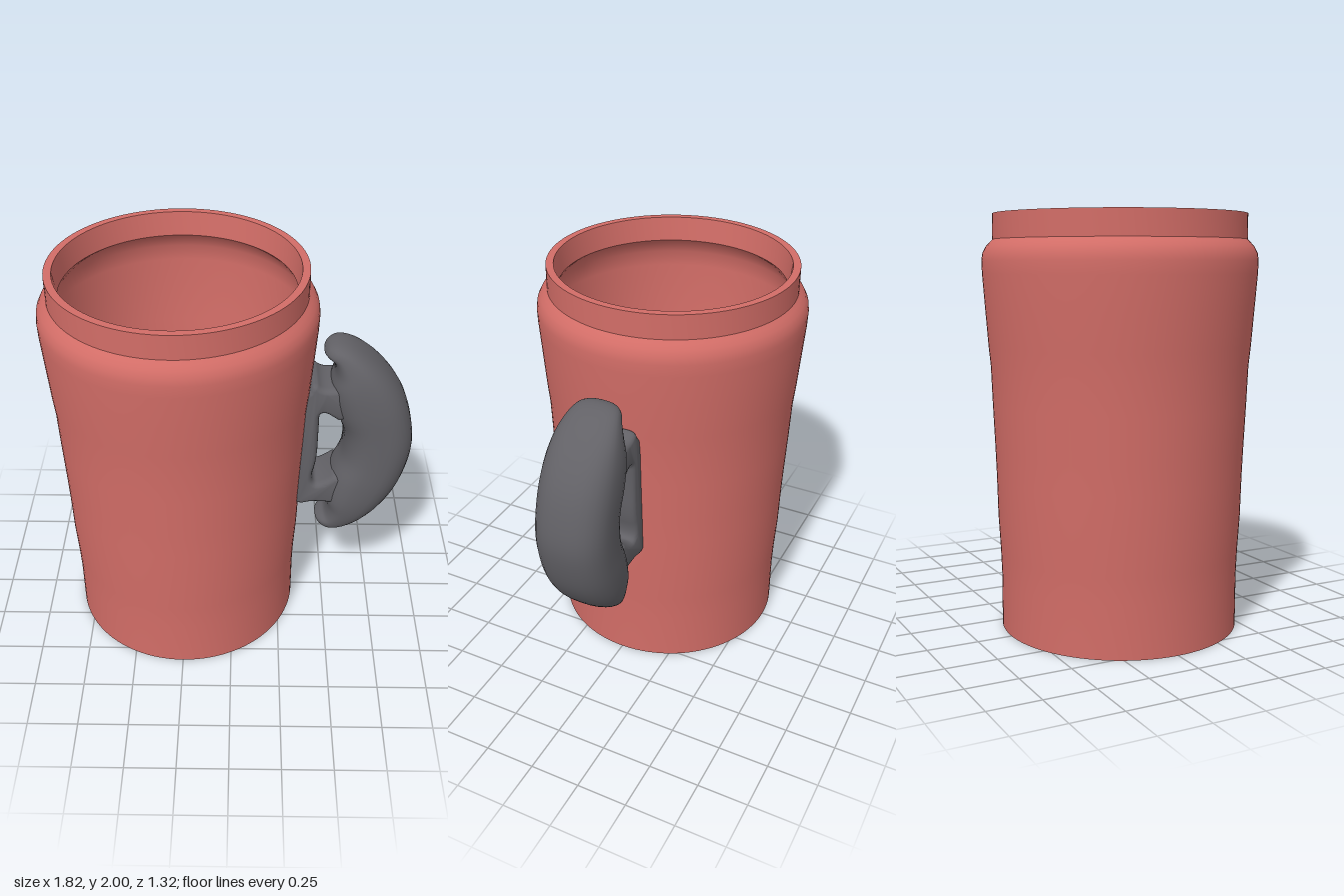
import * as THREE from 'three';
import { toCreasedNormals } from 'three/addons/utils/BufferGeometryUtils.js';

const red = new THREE.MeshStandardMaterial({ color: 0xd26d67 });
red.name = 'matte red';
const grey = new THREE.MeshStandardMaterial({ color: 0x626166 });
grey.name = 'dark grey rubber';

const MID = 1.05; // height of the handle's symmetry plane

// Hollow tumbler: up the outside, over the rim, down the inside
function makeBody() {
  const profile = [
    [0, 0], [0.58, 0], [0.58, 0.25], [0.585, 0.38], [0.595, 0.55], [0.6, 0.75], [0.605, 0.88],
    [0.615, 1.1], [0.622, 1.28], [0.632, 1.38], [0.645, 1.55], [0.658, 1.72], [0.66, 1.78],
    [0.655, 1.815], [0.64, 1.845], [0.622, 1.865], [0.607, 1.88],
    [0.607, 2], [0.57, 2], [0.555, 1.88], [0.575, 1.86], [0.605, 1.8], [0.61, 1.72],
    [0.585, 1.38], [0.565, 1.1], [0.555, 0.75], [0.545, 0.38], [0.54, 0.06], [0, 0.06],
  ].map(([r, y]) => new THREE.Vector2(r, y));
  const mesh = new THREE.Mesh(toCreasedNormals(new THREE.LatheGeometry(profile, 96), 0.55), red);
  mesh.name = 'tumblerBody';
  mesh.position.x = -0.25;
  return mesh;
}

// Crescent grip lofted through rounded sections between an inner and an outer edge
function makeGrip() {
  // inner x, inner y, outer x, outer y, half width; from the middle to the upper tip
  const upper = [
    [0.56, 1.05, 0.907, 1.05, 0.185],
    [0.55, 1.14, 0.89, 1.18, 0.185],
    [0.505, 1.25, 0.845, 1.32, 0.185],
    [0.48, 1.38, 0.77, 1.44, 0.175],
    [0.495, 1.46, 0.68, 1.53, 0.155],
    [0.485, 1.52, 0.58, 1.595, 0.125],
    [0.46, 1.54, 0.51, 1.612, 0.1],
    [0.442, 1.555, 0.465, 1.6, 0.06],
    [0.443, 1.577, 0.443, 1.577, 0],
  ];
  const lower = upper.slice(1).reverse().map(([a, b, c, d, w]) => [a, 2 * MID - b, c, 2 * MID - d, w]);
  const rows = [...lower, ...upper];
  const inner = new THREE.CatmullRomCurve3(rows.map(r => new THREE.Vector3(r[0], r[1], r[4])));
  const outer = new THREE.CatmullRomCurve3(rows.map(r => new THREE.Vector3(r[2], r[3], 0)));
  const steps = 64, sides = 32, pos = [], idx = [];
  const round = v => Math.sign(v) * Math.abs(v) ** 0.8;
  for (let i = 0; i <= steps; i++) {
    const a = inner.getPoint(i / steps), b = outer.getPoint(i / steps);
    for (let j = 0; j < sides; j++) {
      const ang = (j / sides) * Math.PI * 2;
      const k = (1 + round(Math.cos(ang))) / 2;
      pos.push(a.x + (b.x - a.x) * k, a.y + (b.y - a.y) * k, a.z * round(Math.sin(ang)));
      if (i === steps) continue;
      const p = i * sides + j, q = i * sides + (j + 1) % sides;
      idx.push(p, p + sides, q, q, p + sides, q + sides);
    }
  }
  const geo = new THREE.BufferGeometry();
  geo.setAttribute('position', new THREE.Float32BufferAttribute(pos, 3));
  geo.setIndex(idx);
  geo.computeVertexNormals();
  const mesh = new THREE.Mesh(geo, grey);
  mesh.name = 'handleGrip';
  return mesh;
}

// C-shaped bracket: wall pad plus two arms running into the grip
function makeBracket() {
  const s = new THREE.Shape();
  s.moveTo(0.29, 0.75);
  s.quadraticCurveTo(0.3, 0.685, 0.37, 0.69);
  s.quadraticCurveTo(0.41, 0.705, 0.46, 0.7);
  s.lineTo(0.62, 0.69);
  s.lineTo(0.62, 0.86);
  s.lineTo(0.52, 0.87);
  s.quadraticCurveTo(0.46, 0.82, 0.43, 0.82);
  s.quadraticCurveTo(0.4, 0.83, 0.412, 0.9);
  s.quadraticCurveTo(0.428, 0.96, 0.428, 1.05);
  s.lineTo(0.428, 1.23);
  s.quadraticCurveTo(0.43, 1.275, 0.47, 1.255);
  s.lineTo(0.52, 1.22);
  s.lineTo(0.62, 1.24);
  s.lineTo(0.62, 1.41);
  s.lineTo(0.48, 1.4);
  s.quadraticCurveTo(0.44, 1.395, 0.415, 1.42);
  s.quadraticCurveTo(0.385, 1.44, 0.37, 1.39);
  s.lineTo(0.29, 1.33);
  s.closePath();
  const geo = new THREE.ExtrudeGeometry(s, {
    depth: 0.18, bevelEnabled: true, bevelThickness: 0.04, bevelSize: 0.025,
    bevelOffset: -0.025, bevelSegments: 4, curveSegments: 8,
  });
  geo.translate(0, 0, -0.09);
  const mesh = new THREE.Mesh(toCreasedNormals(geo, 0.8), grey);
  mesh.name = 'handleBracket';
  return mesh;
}

export function createModel() {
  const model = new THREE.Group();
  model.name = 'tumbler';
  const handle = new THREE.Group();
  handle.name = 'handle';
  handle.add(makeGrip(), makeBracket());
  model.add(makeBody(), handle);
  return model;
}
